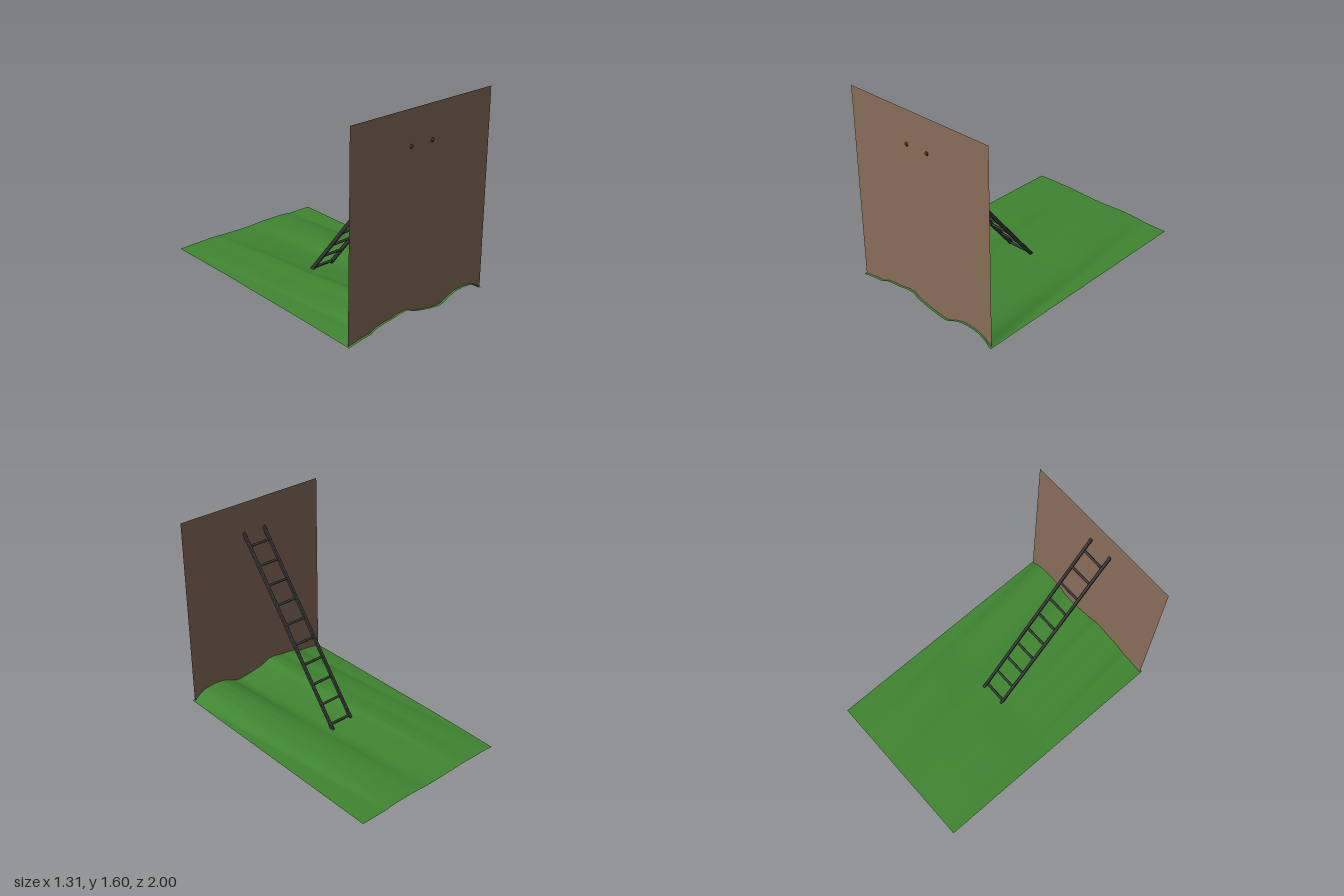
import * as THREE from 'three';
import { RoundedBoxGeometry } from 'three/addons/geometries/RoundedBoxGeometry.js';

const grass = new THREE.MeshStandardMaterial({ color: 0x3f8530, side: THREE.DoubleSide });
grass.name = 'grassGreen';
const earth = new THREE.MeshStandardMaterial({ color: 0x886d58, side: THREE.DoubleSide });
earth.name = 'wallBrown';
const iron = new THREE.MeshStandardMaterial({ color: 0x363636 });
iron.name = 'darkIron';

// Terrain: hill profile along the wall, and how strongly it shows along z
const hills = [[-0.66, 0.05], [-0.6, 0.062], [-0.52, 0.075], [-0.45, 0.081], [-0.4, 0.106], [-0.33, 0.121],
  [-0.25, 0.126], [-0.18, 0.142], [-0.11, 0.143], [-0.05, 0.112], [0.04, 0.092], [0.12, 0.077], [0.2, 0.068],
  [0.25, 0.076], [0.31, 0.107], [0.37, 0.126], [0.45, 0.132], [0.53, 0.124], [0.59, 0.1], [0.65, 0.05]];
const strength = [[-1, 0.14], [-0.7, 0.32], [-0.3, 0.48], [0, 0.45], [0.6, 0.78], [1, 1]];

function sample(points, t) {
  if (t <= points[0][0]) return points[0][1];
  for (let i = 1; i < points.length; i++) {
    const [a, b] = [points[i - 1], points[i]];
    if (t <= b[0]) return THREE.MathUtils.mapLinear(t, a[0], b[0], a[1], b[1]);
  }
  return points[points.length - 1][1];
}

// The ridges drift sideways as they run away from the wall
function groundHeight(x, z) {
  const u = x - 0.1 * (z - 1);
  return 0.049 + sample(strength, z) * (sample(hills, u) - 0.049);
}

function makeGround() {
  const geo = new THREE.PlaneGeometry(1.31, 2, 90, 60).rotateX(-Math.PI / 2);
  const p = geo.attributes.position;
  for (let i = 0; i < p.count; i++) p.setY(i, groundHeight(p.getX(i), p.getZ(i)));
  geo.computeVertexNormals();
  const mesh = new THREE.Mesh(geo, grass);
  mesh.name = 'ground';
  return mesh;
}

// Thin wall whose lower edge follows the ground
function makeWall() {
  const z = 0.982, half = 0.648, steps = 60;
  const shape = new THREE.Shape().moveTo(half, 1.6).lineTo(-half, 1.6);
  for (let i = 0; i <= steps; i++) {
    const x = -half + (2 * half * i) / steps;
    shape.lineTo(x, groundHeight(x, z));
  }
  shape.closePath();
  const mesh = new THREE.Mesh(new THREE.ShapeGeometry(shape), earth);
  mesh.position.z = z;
  mesh.name = 'wall';
  return mesh;
}

// Ladder leaning on the wall: two rails and ten rungs
function makeLadder() {
  const ladder = new THREE.Group();
  ladder.name = 'ladder';
  const bottom = new THREE.Vector3(-0.012, 0.01, -0.075);
  const top = new THREE.Vector3(-0.012, 1.35, 0.986);
  const axis = top.clone().sub(bottom);
  const length = axis.length();
  ladder.position.copy(bottom);
  ladder.rotation.x = Math.atan2(axis.z, axis.y);

  const railGeo = new RoundedBoxGeometry(0.022, length, 0.028, 2, 0.006);
  for (const side of [-1, 1]) {
    const rail = new THREE.Mesh(railGeo, iron);
    rail.name = side > 0 ? 'leftRail' : 'rightRail';
    rail.position.set(side * 0.097, length / 2, 0);
    ladder.add(rail);
  }

  const rungGeo = new THREE.CylinderGeometry(0.01, 0.01, 0.19, 12).rotateZ(Math.PI / 2);
  for (let i = 0; i < 10; i++) {
    const rung = new THREE.Mesh(rungGeo, iron);
    rung.name = 'rung' + (i + 1);
    rung.position.y = ((0.06 + 0.1033 * i) / axis.z) * length;
    ladder.add(rung);
  }
  return ladder;
}

export function createModel() {
  const model = new THREE.Group();
  model.name = 'ladderAgainstWall';
  model.add(makeGround(), makeWall(), makeLadder());
  return model;
}
